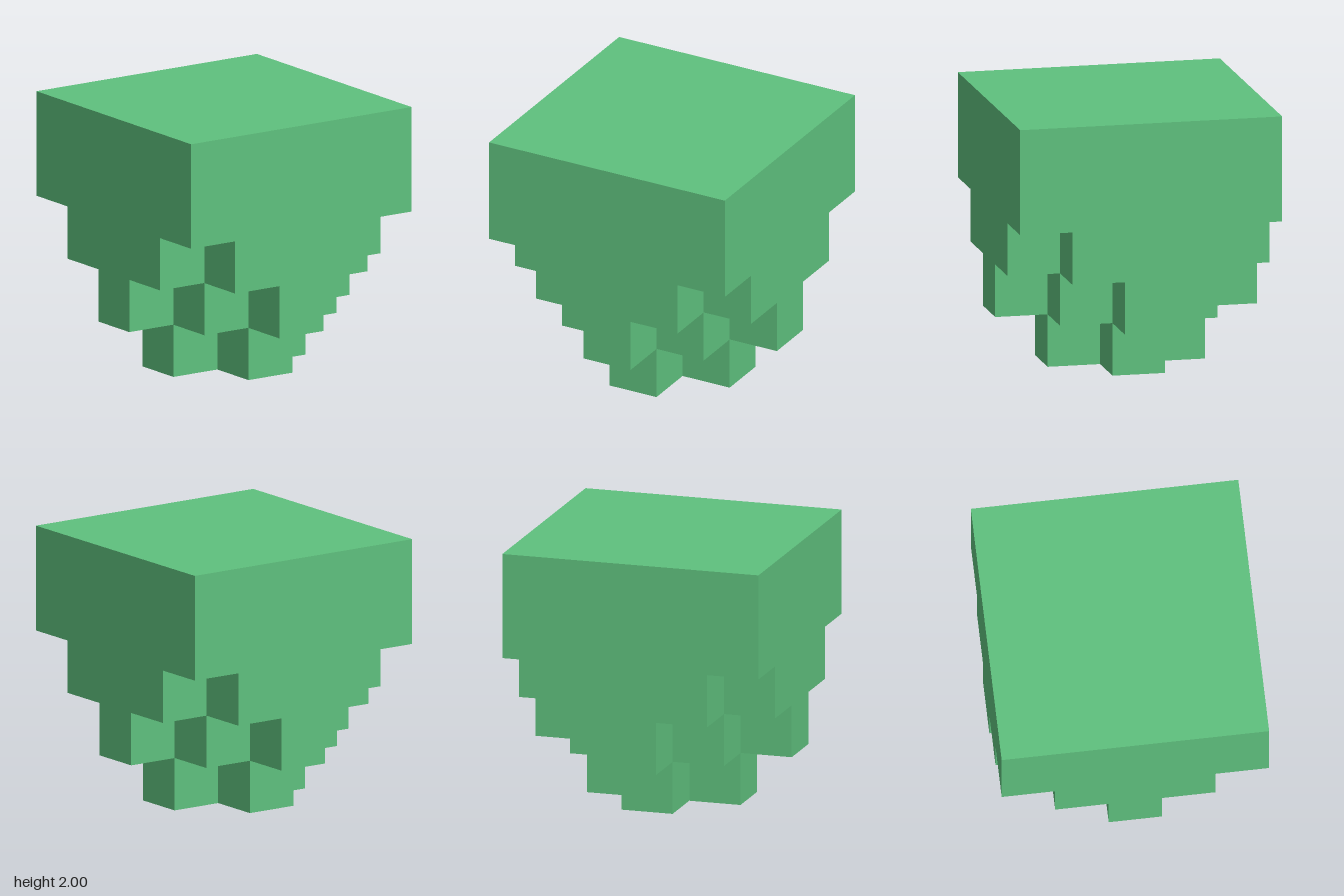
import * as THREE from 'three';

const CELL = 0.4; // the model is a 5 x 5 x 5 grid of cells
const HALF = 2;   // cells on each side of the middle one

// Stepped diamond outline: all cells with |i| + |j| <= reach, clipped to the grid
function steppedOutline(reach) {
  const rows = Math.min(HALF, reach);
  const points = [];
  const add = (x, y) => {
    const p = new THREE.Vector2(x * CELL, y * CELL);
    if (!points.length || !points[points.length - 1].equals(p)) points.push(p);
  };
  const width = (j) => Math.min(HALF, reach - Math.abs(j)) + 0.5;
  for (let j = -rows; j <= rows; j++) {
    add(width(j), j - 0.5);
    add(width(j), j + 0.5);
  }
  for (let j = rows; j >= -rows; j--) {
    add(-width(j), j + 0.5);
    add(-width(j), j - 0.5);
  }
  return new THREE.Shape(points);
}

export function createModel() {
  const group = new THREE.Group();
  group.name = 'steppedBlock';
  const green = new THREE.MeshStandardMaterial({ color: 0x5fc17e });
  green.name = 'green';

  // Three stepped layers, widening upwards
  ['bottomLayer', 'middleLayer', 'upperLayer'].forEach((name, i) => {
    const geometry = new THREE.ExtrudeGeometry(steppedOutline(i + 1), { depth: CELL, bevelEnabled: false });
    geometry.rotateX(-Math.PI / 2);
    const layer = new THREE.Mesh(geometry, green);
    layer.name = name;
    layer.position.y = i * CELL;
    group.add(layer);
  });

  // Solid square block on top, two cells high
  const block = new THREE.Mesh(new THREE.BoxGeometry(5 * CELL, 2 * CELL, 5 * CELL), green);
  block.name = 'topBlock';
  block.position.y = 4 * CELL;
  group.add(block);

  return group;
}
